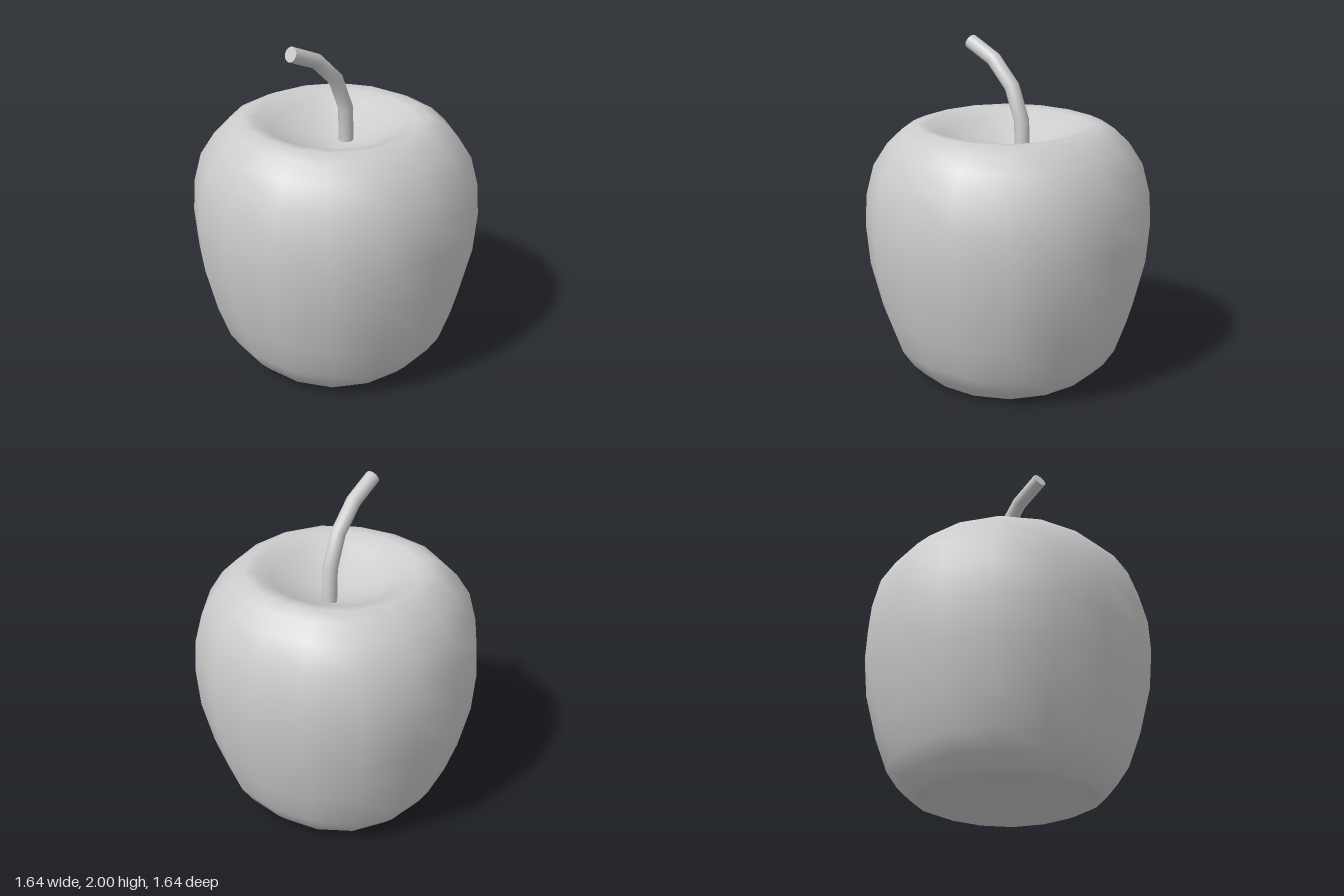
import * as THREE from 'three';
import { mergeVertices } from 'three/addons/utils/BufferGeometryUtils.js';

const SIDES = 16;

// Outline of the fruit as [radius, height], from the lower dimple to the upper one
const PROFILE = [
  [0, 0.16], [0.12, 0.15], [0.25, 0.11], [0.36, 0.05], [0.43, 0.012], [0.485, 0],
  [0.53, 0.02], [0.6, 0.09], [0.665, 0.19], [0.735, 0.39], [0.8, 0.66], [0.82, 0.9],
  [0.81, 1.09], [0.765, 1.27], [0.685, 1.4], [0.6, 1.485], [0.525, 1.52],
  [0.46, 1.51], [0.38, 1.465], [0.27, 1.4], [0.13, 1.345], [0, 1.32],
];

function createFruit(material) {
  const lathe = new THREE.LatheGeometry(PROFILE.map(([r, y]) => new THREE.Vector2(r, y)), SIDES);

  // Slightly fuller on the diagonals than along the axes
  const pos = lathe.attributes.position;
  for (let i = 0; i < pos.count; i++) {
    const x = pos.getX(i), z = pos.getZ(i);
    const swell = 1 + 0.035 * Math.sin(2 * Math.atan2(z, x)) ** 2;
    pos.setX(i, x * swell);
    pos.setZ(i, z * swell);
  }

  // Weld the seam so the shading runs smoothly all the way round
  lathe.deleteAttribute('uv');
  lathe.deleteAttribute('normal');
  const geometry = mergeVertices(lathe, 1e-4);
  geometry.computeVertexNormals();

  const fruit = new THREE.Mesh(geometry, material);
  fruit.name = 'fruitBody';
  return fruit;
}

function createStem(material) {
  const radius = 0.044, x = -0.015;
  const path = new THREE.CatmullRomCurve3(
    [[1.34, -0.1], [1.55, -0.092], [1.75, -0.005], [1.885, 0.145], [1.959, 0.32]]
      .map(([y, z]) => new THREE.Vector3(x, y, z))
  );
  const stem = new THREE.Group();
  stem.name = 'stem';

  const stalk = new THREE.Mesh(new THREE.TubeGeometry(path, 4, radius, SIDES), material);
  stalk.name = 'stalk';
  stem.add(stalk);

  // Flat discs close both ends
  for (const [name, t, sign] of [['stemBase', 0, -1], ['stemTip', 1, 1]]) {
    const cap = new THREE.Mesh(new THREE.CircleGeometry(radius, SIDES), material);
    cap.name = name;
    cap.position.copy(path.getPointAt(t));
    cap.lookAt(cap.position.clone().addScaledVector(path.getTangentAt(t), sign));
    stem.add(cap);
  }
  return stem;
}

export function createModel() {
  const material = new THREE.MeshStandardMaterial({ color: 0xcccccc });
  const model = new THREE.Group();
  model.name = 'apple';
  model.add(createFruit(material), createStem(material));
  return model;
}
